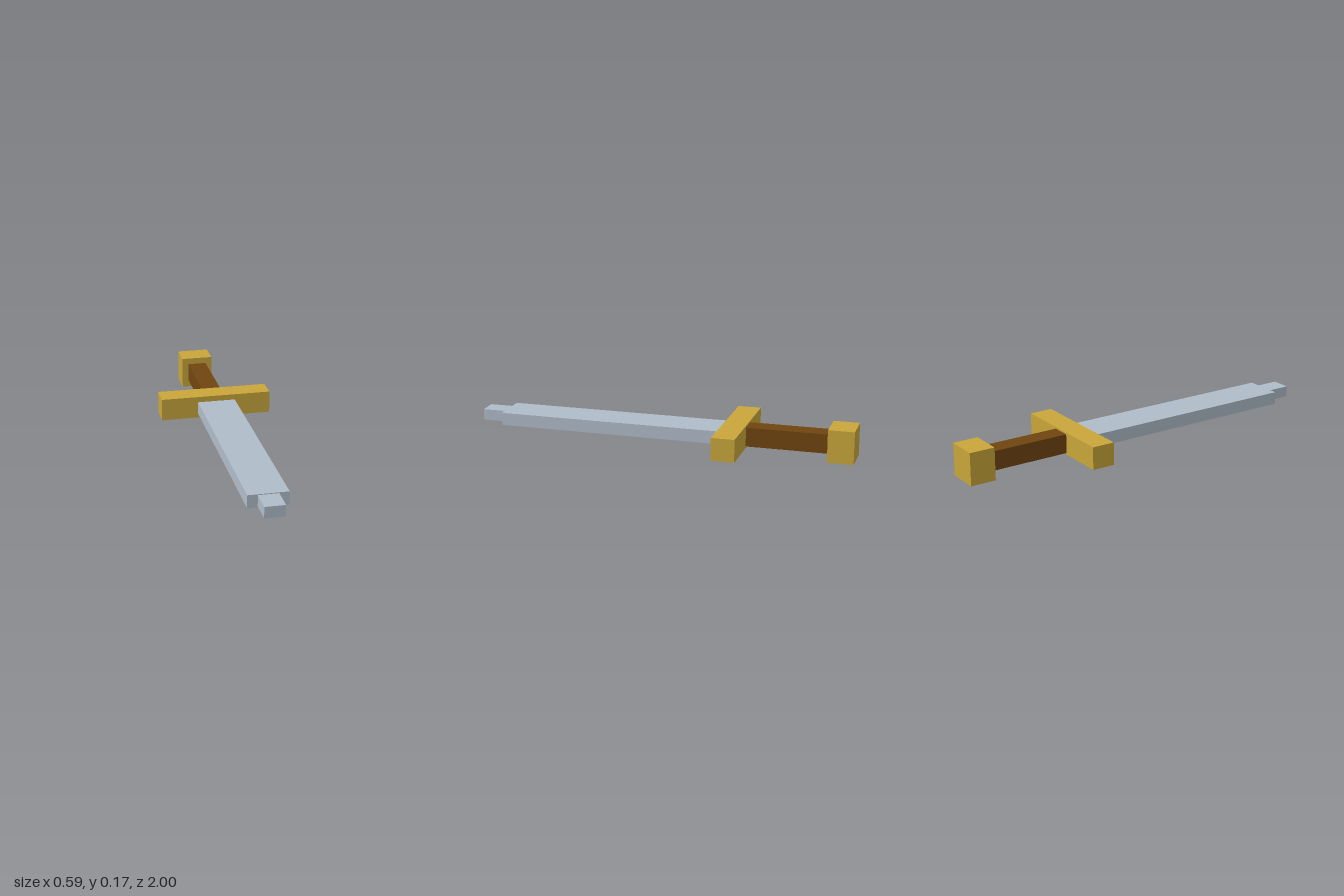
import * as THREE from 'three';

const mat = (name, color) => {
  const m = new THREE.MeshStandardMaterial({ color });
  m.name = name;
  return m;
};

export function createModel() {
  const group = new THREE.Group();
  group.name = 'sword';

  const gold = mat('gold', 0xc9a63a);
  const steel = mat('steel', 0xb0bcc9);
  const leather = mat('brown leather', 0x70450f);
  const brass = mat('pale brass', 0xc9c193);

  // Box centred on x = 0, given its width and its y and z ranges
  const block = (name, material, width, [y0, y1], [z0, z1]) => {
    const mesh = new THREE.Mesh(new THREE.BoxGeometry(width, y1 - y0, z1 - z0), material);
    mesh.name = name;
    mesh.position.set(0, (y0 + y1) / 2, (z0 + z1) / 2);
    group.add(mesh);
  };

  // Hilt
  block('pommel', gold, 0.17, [0, 0.17], [-1, -0.866]);
  block('grip', leather, 0.1, [0.036, 0.136], [-0.866, -0.442]);
  block('crossguard', gold, 0.594, [0.027, 0.145], [-0.442, -0.321]);

  // Blade with its stepped tip
  block('blade', steel, 0.202, [0.052, 0.119], [-0.311, 0.873]);
  block('bladeTip', steel, 0.102, [0.057, 0.115], [0.873, 1]);

  // Raised strip along the underside of the blade
  block('bladeStrip', brass, 0.042, [0.03, 0.052], [-0.269, 0.835]);

  return group;
}
